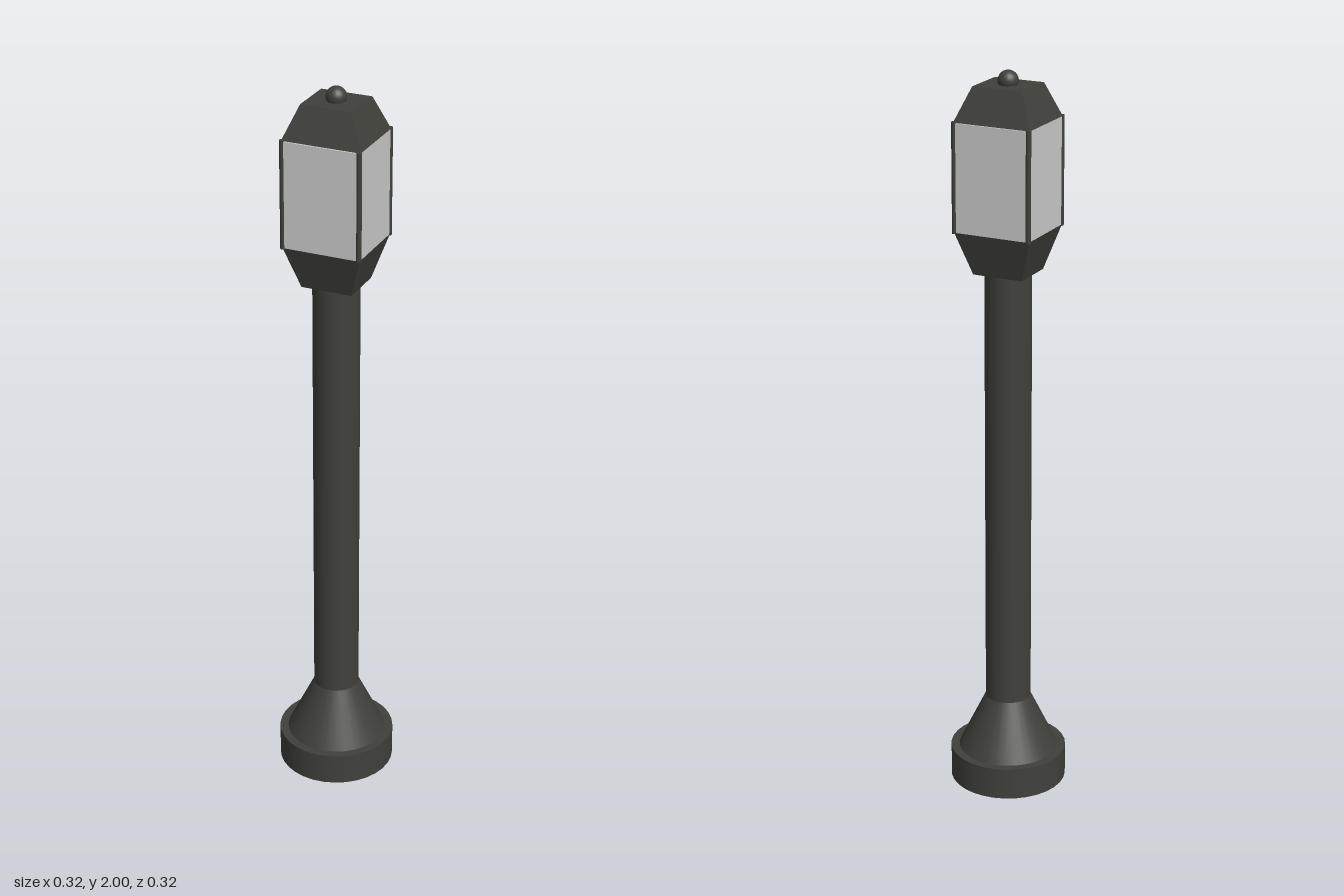
import * as THREE from 'three';

export function createModel() {
  const model = new THREE.Group();
  model.name = 'lampPost';

  const iron = new THREE.MeshStandardMaterial({ color: 0x40403b });
  const ironFlat = new THREE.MeshStandardMaterial({ color: 0x40403b, flatShading: true });
  const glass = new THREE.MeshStandardMaterial({ color: 0xcccccc });

  const add = (name, geometry, material, x = 0, y = 0, z = 0) => {
    const mesh = new THREE.Mesh(geometry, material);
    mesh.name = name;
    mesh.position.set(x, y, z);
    model.add(mesh);
    return mesh;
  };

  // Round section standing between two heights
  const round = (name, rTop, rBottom, y0, y1) =>
    add(name, new THREE.CylinderGeometry(rTop, rBottom, y1 - y0, 32), iron, 0, (y0 + y1) / 2);

  // Four-sided tapered block; sizes are half widths in x and z
  const taper = (name, [xt, zt], [xb, zb], y0, y1) => {
    const geometry = new THREE.BoxGeometry(2, y1 - y0, 2);
    const p = geometry.attributes.position;
    for (let i = 0; i < p.count; i++) {
      const top = p.getY(i) > 0;
      p.setX(i, p.getX(i) * (top ? xt : xb));
      p.setZ(i, p.getZ(i) * (top ? zt : zb));
    }
    add(name, geometry, ironFlat, 0, (y0 + y1) / 2);
  };

  // Base and column
  round('base', 0.16, 0.16, 0, 0.09);
  round('baseCone', 0.0625, 0.137, 0.09, 0.245);
  round('pole', 0.0625, 0.0625, 0.24, 1.475);

  // Lantern cup and roof
  const glassBottom = 1.587, glassTop = 1.873;
  const glassHeight = glassTop - glassBottom;
  const glassMiddle = (glassTop + glassBottom) / 2;
  taper('lanternCup', [0.108, 0.096], [0.07, 0.063], 1.47, glassBottom);
  taper('lanternRoof', [0.07, 0.063], [0.108, 0.096], glassTop, 1.963);

  // Glass panes on all four sides
  for (const s of [-1, 1]) {
    add('glassPane', new THREE.BoxGeometry(0.2, glassHeight, 0.004), glass, 0, glassMiddle, s * 0.099);
    add('glassPane', new THREE.BoxGeometry(0.004, glassHeight, 0.19), glass, s * 0.106, glassMiddle, 0);
  }

  // Corner posts
  for (const x of [-0.105, 0.105]) {
    for (const z of [-0.097, 0.097]) {
      add('cornerPost', new THREE.CylinderGeometry(0.007, 0.007, glassHeight + 0.006, 12), iron, x, glassMiddle, z);
    }
  }

  // Ball on the roof
  add('finial', new THREE.SphereGeometry(0.027, 24, 16), iron, 0, 1.973, 0);

  return model;
}
